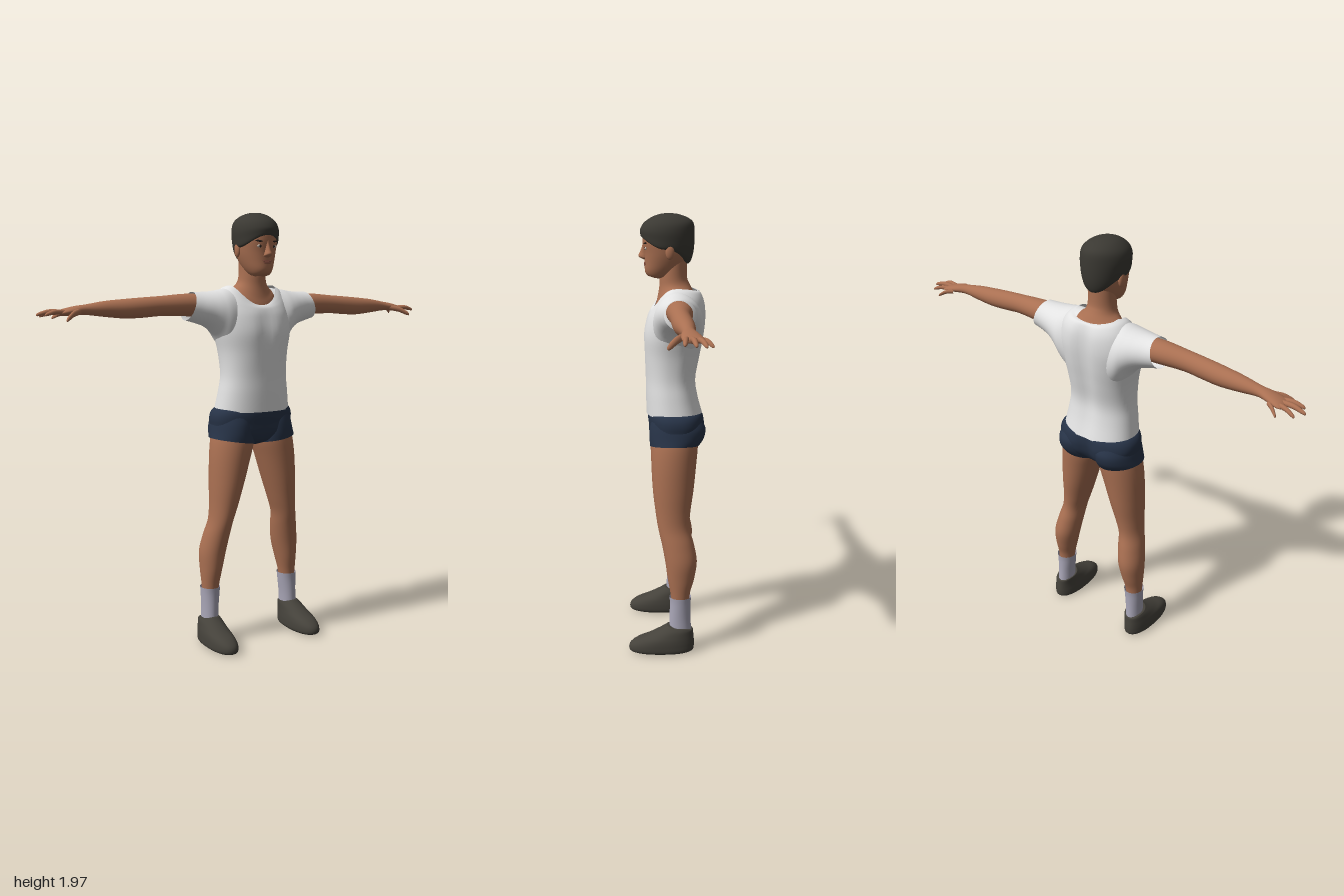
import * as THREE from 'three';

const mat = (name, color, side = THREE.FrontSide) => {
  const m = new THREE.MeshStandardMaterial({ color, side });
  m.name = name;
  return m;
};

// Catmull-Rom blend through rows of numbers
function smoothRows(rows, steps) {
  const out = [], n = rows.length, at = i => rows[Math.max(0, Math.min(n - 1, i))];
  for (let i = 0; i < n - 1; i++) {
    for (let k = 0; k < steps; k++) {
      const t = k / steps;
      out.push(rows[i].map((b, c) => {
        const a = at(i - 1)[c], d = at(i + 1)[c], e = at(i + 2)[c];
        return b + 0.5 * t * (d - a + t * (2 * a - 5 * b + 4 * d - e + t * (3 * (b - d) + e - a)));
      }));
    }
  }
  out.push(rows[n - 1]);
  return out;
}

// Skin closed rings, one per row, with optional end caps
function loft(rows, ring, { segs = 40, steps = 5, capStart = false, capEnd = false } = {}) {
  const width = Math.max(...rows.map(r => r.length));
  const full = smoothRows(rows.map(r => [...r, ...Array(width - r.length).fill(0)]), steps);
  const pos = [], idx = [];
  full.forEach(p => {
    for (let j = 0; j < segs; j++) pos.push(...ring(p, j / segs * Math.PI * 2));
  });
  for (let i = 0; i < full.length - 1; i++) {
    for (let j = 0; j < segs; j++) {
      const a = i * segs + j, b = i * segs + (j + 1) % segs;
      idx.push(a, a + segs, b, b, a + segs, b + segs);
    }
  }
  const cap = (row, flip) => {
    const start = row * segs, c = [0, 0, 0], centre = pos.length / 3;
    for (let j = 0; j < segs; j++) for (let k = 0; k < 3; k++) c[k] += pos[(start + j) * 3 + k] / segs;
    pos.push(...c);
    for (let j = 0; j < segs; j++) {
      const a = start + j, b = start + (j + 1) % segs;
      idx.push(centre, ...(flip ? [b, a] : [a, b]));
    }
  };
  if (capStart) cap(0, false);
  if (capEnd) cap(full.length - 1, true);
  const g = new THREE.BufferGeometry();
  g.setAttribute('position', new THREE.Float32BufferAttribute(pos, 3));
  g.setIndex(idx);
  g.computeVertexNormals();
  return g;
}

// Upright ring: y, centre x, half width, front z, back z, front lift, back lift, sideways tilt, back groove, front groove
const upright = (power = 1) => ([y, cx, hw, zf, zb, lf = 0, lb = 0, tilt = 0, gb = 0, gf = 0], a) => {
  const c = Math.cos(a), s = Math.sin(a), p = v => Math.sign(v) * Math.abs(v) ** power;
  const x = cx + hw * p(c), dip = Math.exp(-((x / 0.04) ** 2)) * Math.abs(s);
  const z = (zf + zb) / 2 + (zf - zb) / 2 * p(s) + (s < 0 ? gb : -gf) * dip;
  return [x, y + s * s * (s > 0 ? lf : lb) + tilt * c, z];
};
// Sideways ring: x, centre y, centre z, half height, half depth, slant
const sideways = ([x, y, z, hy, hz, slant = 0], a) =>
  [x - slant * Math.cos(a), y + hy * Math.cos(a), z - hz * Math.sin(a)];

function mirrored(geo) {
  const g = geo.clone().scale(-1, 1, 1), i = g.index.array;
  for (let k = 0; k < i.length; k += 3) [i[k], i[k + 1]] = [i[k + 1], i[k]];
  return g;
}

export function createModel() {
  const model = new THREE.Group();
  const skin = mat('skin', 0xaa7052), shirt = mat('white cotton', 0xe2e2e2, THREE.DoubleSide);
  const navy = mat('navy cloth', 0x273347, THREE.DoubleSide), hairMat = mat('dark hair', 0x3b3933, THREE.DoubleSide);
  const sockMat = mat('grey sock', 0xaaa7b8, THREE.DoubleSide), shoeMat = mat('shoe', 0x45423b);
  const eyeWhite = mat('eye white', 0xc9bdb2), dark = mat('brow and iris', 0x2b211c), lip = mat('lip', 0x874f41);

  const add = (name, geo, material) => {
    const m = new THREE.Mesh(geo, material);
    m.name = name;
    model.add(m);
  };
  const pair = (name, geo, material) => {
    add('left' + name, geo, material);
    add('right' + name, mirrored(geo), material);
  };
  const blob = (x, y, z, rx, ry, rz) => new THREE.SphereGeometry(1, 20, 14).scale(rx, ry, rz).translate(x, y, z);

  // Shirt body, rising to a scooped neckline
  add('shirtBody', loft([
    [1.085, 0, 0.181, 0.092, -0.165, 0, 0, 0, 0.006, 0],
    [1.17, 0, 0.168, 0.094, -0.143, 0, 0, 0, 0.01, 0],
    [1.25, 0, 0.158, 0.095, -0.134, 0, 0, 0, 0.014, 0],
    [1.35, 0, 0.164, 0.102, -0.152, 0, 0, 0, 0.018, 0.004],
    [1.44, 0, 0.182, 0.106, -0.168, 0, 0, 0, 0.02, 0.01],
    [1.52, 0, 0.19, 0.092, -0.176, -0.01, 0, 0, 0.02, 0.008],
    [1.595, 0, 0.17, 0.076, -0.172, -0.05, -0.01, 0, 0.016, 0.002],
    [1.636, 0, 0.14, 0.064, -0.155, -0.078, -0.008, 0, 0.008, 0],
    [1.65, 0, 0.113, 0.055, -0.135, -0.087, -0.015],
  ], upright(0.88), { segs: 56 }), shirt);

  // Sleeves, deep at the armpit and open at the cuff
  pair('Sleeve', loft([
    [0.09, 1.475, -0.045, 0.165, 0.1],
    [0.15, 1.505, -0.045, 0.13, 0.108],
    [0.19, 1.53, -0.045, 0.098, 0.1],
    [0.235, 1.545, -0.045, 0.078, 0.086],
    [0.28, 1.554, -0.046, 0.068, 0.074, 0.01],
    [0.318, 1.56, -0.048, 0.062, 0.068, 0.018],
  ], sideways), shirt);

  // Neck and upper chest showing in the neckline
  add('neck', loft([
    [1.57, 0, 0.135, 0.06, -0.13, -0.04, 0],
    [1.622, 0, 0.112, 0.051, -0.128, -0.054, -0.01],
    [1.64, 0, 0.088, 0.042, -0.115, -0.04, 0],
    [1.662, 0, 0.068, 0.033, -0.098, -0.012, 0.01],
    [1.70, 0, 0.061, 0.03, -0.09],
    [1.77, 0, 0.06, 0.02, -0.09],
  ], upright()), skin);

  // Head, nose and ears
  add('head', loft([
    [1.69, 0, 0.022, 0.07, 0.01, 0.008, 0],
    [1.697, 0, 0.042, 0.087, -0.02, 0.006, 0.01],
    [1.722, 0, 0.059, 0.096, -0.055],
    [1.76, 0, 0.074, 0.097, -0.085],
    [1.80, 0, 0.084, 0.099, -0.1],
    [1.85, 0, 0.089, 0.106, -0.105],
    [1.90, 0, 0.086, 0.1, -0.1],
    [1.94, 0, 0.055, 0.06, -0.07],
    [1.95, 0, 0.002, 0.002, -0.002],
  ], upright(0.94), { capStart: true }), skin);
  add('nose', loft([
    [1.771, 0, 0.008, 0.1, 0.085],
    [1.778, 0, 0.018, 0.116, 0.08],
    [1.787, 0, 0.017, 0.125, 0.08],
    [1.803, 0, 0.012, 0.118, 0.08],
    [1.83, 0, 0.009, 0.108, 0.08],
    [1.855, 0, 0.011, 0.105, 0.08],
  ], upright(), { segs: 20, capStart: true }), skin);
  pair('Ear', blob(0.088, 1.805, -0.012, 0.011, 0.032, 0.019).rotateX(0), skin);

  // Face details
  pair('Eye', blob(0.035, 1.82, 0.0925, 0.016, 0.0065, 0.0045), eyeWhite);
  pair('Iris', blob(0.035, 1.82, 0.0955, 0.006, 0.006, 0.003), dark);
  pair('Brow', new THREE.SphereGeometry(1, 16, 10).scale(0.021, 0.0045, 0.0045)
    .rotateY(0.25).rotateZ(0.08).translate(0.037, 1.842, 0.095), dark);
  add('upperLip', blob(0, 1.757, 0.096, 0.025, 0.004, 0.0048), lip);
  add('lowerLip', blob(0, 1.749, 0.096, 0.02, 0.0045, 0.0048), lip);

  // Hair cap, short over the brow and long at the nape
  add('hair', loft([
    [1.815, 0, 0.084, 0.1, -0.085, 0.055, -0.065],
    [1.822, 0, 0.094, 0.111, -0.105, 0.047, -0.06],
    [1.85, 0, 0.098, 0.116, -0.119, 0.032, -0.04],
    [1.89, 0, 0.1, 0.116, -0.123, 0.012, -0.01],
    [1.925, 0, 0.09, 0.1, -0.117, 0.004, 0.005],
    [1.953, 0, 0.062, 0.066, -0.088],
    [1.967, 0, 0.028, 0.026, -0.045],
    [1.969, 0, 0.002, -0.006, -0.01],
  ], upright()), hairMat);

  // Shorts: hips plus two legs
  add('shortsHips', loft([
    [0.925, 0, 0.02, 0.0, -0.06],
    [0.945, 0, 0.09, 0.05, -0.12, 0, 0, 0, 0.01],
    [0.985, 0, 0.185, 0.076, -0.16, 0, 0, 0, 0.025, 0.004],
    [1.03, 0, 0.2, 0.082, -0.173, 0, 0, 0, 0.025, 0.002],
    [1.065, 0, 0.2, 0.086, -0.171, 0, 0, 0, 0.018],
    [1.09, 0, 0.188, 0.086, -0.163, 0, 0, 0, 0.01],
    [1.105, 0, 0.168, 0.08, -0.145],
  ], upright(0.85), { segs: 56 }), navy);
  pair('ShortsLeg', loft([
    [0.949, 0.108, 0.105, 0.077, -0.142, 0, 0, 0.016],
    [0.985, 0.104, 0.102, 0.08, -0.165, 0, 0, 0.008],
    [1.03, 0.1, 0.098, 0.078, -0.172],
    [1.07, 0.095, 0.09, 0.07, -0.15],
  ], upright()), navy);

  // Legs, socks and shoes
  pair('Leg', loft([
    [0.25, 0.215, 0.038, -0.015, -0.098],
    [0.29, 0.213, 0.042, -0.01, -0.103],
    [0.35, 0.208, 0.05, 0.001, -0.12],
    [0.43, 0.2, 0.059, 0.012, -0.132],
    [0.51, 0.187, 0.058, 0.027, -0.118],
    [0.58, 0.174, 0.054, 0.043, -0.1],
    [0.65, 0.16, 0.062, 0.054, -0.103],
    [0.75, 0.143, 0.077, 0.066, -0.118],
    [0.86, 0.124, 0.092, 0.072, -0.13],
    [0.94, 0.108, 0.1, 0.072, -0.138],
    [1.0, 0.1, 0.095, 0.065, -0.14],
  ], upright()), skin);
  pair('Sock', loft([
    [0.09, 0.221, 0.037, -0.005, -0.108],
    [0.16, 0.219, 0.038, -0.007, -0.104],
    [0.23, 0.216, 0.043, -0.009, -0.104],
    [0.265, 0.215, 0.046, -0.007, -0.107],
  ], upright(), { segs: 28 }), sockMat);
  pair('Shoe', loft([
    [0.0, 0.225, 0.046, 0.145, -0.1],
    [0.012, 0.227, 0.06, 0.176, -0.117],
    [0.04, 0.227, 0.061, 0.175, -0.12],
    [0.064, 0.227, 0.058, 0.145, -0.119],
    [0.085, 0.226, 0.053, 0.09, -0.117],
    [0.107, 0.224, 0.048, 0.035, -0.115, 0.005, 0],
    [0.12, 0.222, 0.043, 0.003, -0.112, 0.012, -0.012],
  ], upright(0.9), { capStart: true, capEnd: true }), shoeMat);

  // Arms running into flat palms
  pair('Arm', loft([
    [0.22, 1.56, -0.046, 0.05, 0.055],
    [0.33, 1.565, -0.047, 0.049, 0.053],
    [0.45, 1.562, -0.044, 0.043, 0.043],
    [0.54, 1.556, -0.046, 0.043, 0.042],
    [0.62, 1.552, -0.05, 0.041, 0.041],
    [0.71, 1.552, -0.055, 0.033, 0.034],
    [0.79, 1.55, -0.058, 0.022, 0.026],
    [0.84, 1.546, -0.062, 0.019, 0.035],
    [0.89, 1.539, -0.07, 0.014, 0.041],
    [0.91, 1.536, -0.073, 0.007, 0.034],
  ], sideways, { segs: 32, capEnd: true }), skin);

  // Spread fingers: root, then tip
  const fingers = {
    Thumb: [0.82, 1.544, -0.045, 0.905, 1.508, 0.02, 0.013],
    IndexFinger: [0.88, 1.54, -0.046, 0.975, 1.53, -0.036, 0.01],
    MiddleFinger: [0.885, 1.54, -0.065, 0.998, 1.53, -0.075, 0.0105],
    RingFinger: [0.88, 1.538, -0.085, 0.972, 1.524, -0.113, 0.01],
    LittleFinger: [0.85, 1.536, -0.095, 0.91, 1.515, -0.14, 0.0095],
  };
  for (const [name, [x0, y0, z0, x1, y1, z1, r]] of Object.entries(fingers)) {
    const rows = [[0, 1], [0.5, 1], [0.85, 0.8], [0.97, 0.5], [1, 0.1]].map(([t, k]) => [
      x0 + (x1 - x0) * t, y0 + (y1 - y0) * t + 0.008 * Math.sin(Math.PI * t), z0 + (z1 - z0) * t, r * k, r * k]);
    pair(name, loft(rows, sideways, { segs: 14, steps: 3, capEnd: true }), skin);
  }
  return model;
}
